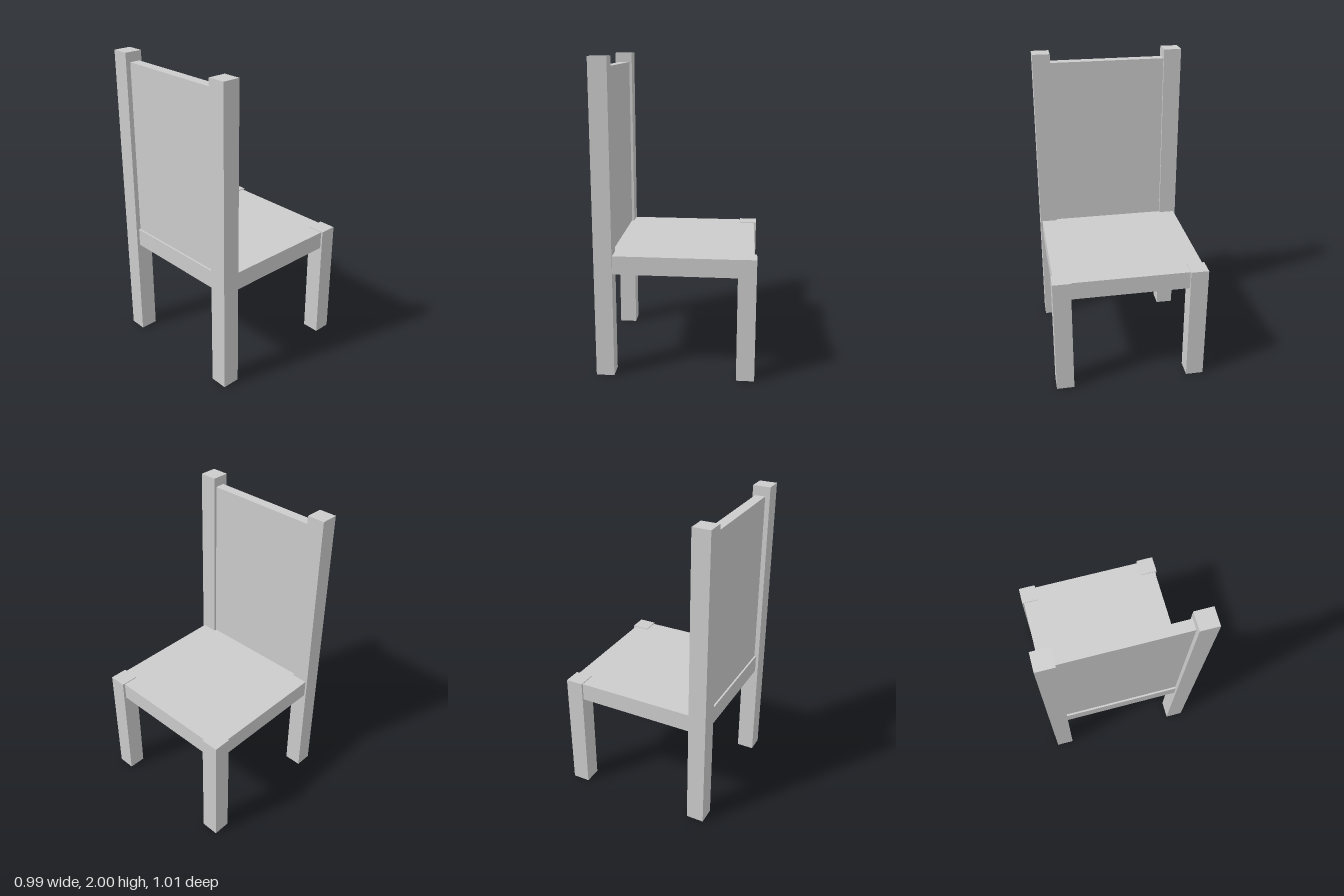
import * as THREE from 'three';

const material = new THREE.MeshStandardMaterial({ color: 0xcccccc, flatShading: true });

// Box given by its lower and upper limits on each axis
function box(name, [x0, x1], [y0, y1], [z0, z1]) {
  const mesh = new THREE.Mesh(new THREE.BoxGeometry(x1 - x0, y1 - y0, z1 - z0), material);
  mesh.position.set((x0 + x1) / 2, (y0 + y1) / 2, (z0 + z1) / 2);
  mesh.name = name;
  return mesh;
}

export function createModel() {
  const chair = new THREE.Group();
  chair.name = 'chair';

  // Seat slab, slightly inset from the outer leg faces
  chair.add(box('seat', [-0.485, 0.485], [0.677, 0.795], [-0.487, 0.484]));

  // Back panel, held between the tall posts
  chair.add(box('backPanel', [-0.39, 0.39], [0.79, 1.938], [0.405, 0.472]));

  // Tall posts carry the back panel; short legs end just above the seat
  for (const [side, x] of [['left', [0.381, 0.497]], ['right', [-0.497, -0.381]]]) {
    chair.add(box(side + 'BackPost', x, [0, 2], [0.388, 0.503]));
    chair.add(box(side + 'SeatLeg', x, [0, 0.8], [-0.503, -0.388]));
  }
  return chair;
}
